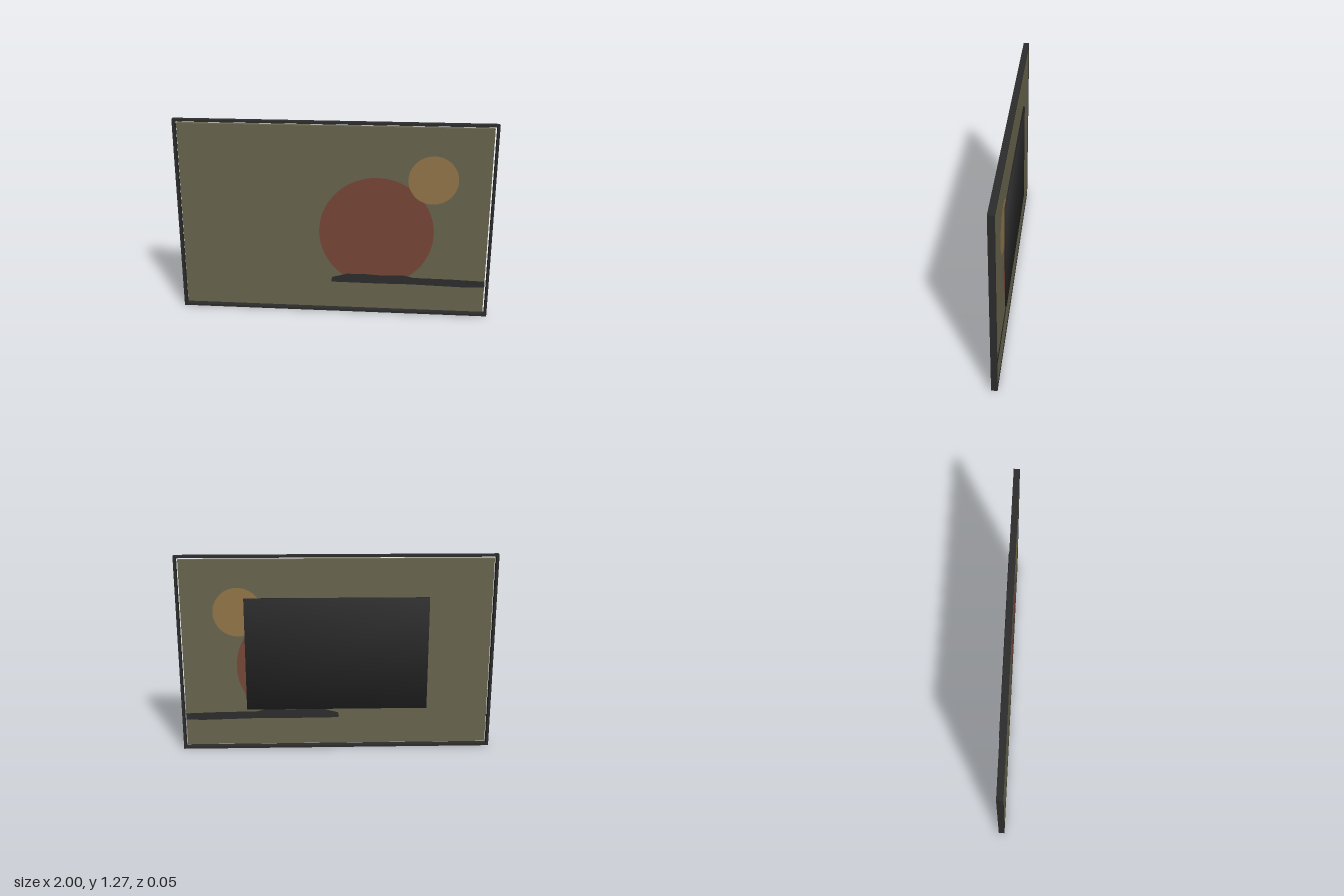
import * as THREE from 'three';

const H = 1.27, FRONT = 0.0235, BACK = -0.0145, BAR = 0.015;
const CANVAS = { x0: -0.973, x1: 0.973, y0: 0.032, y1: 1.245, front: 0.022, back: -0.013 };

function material(name, color, side = THREE.FrontSide) {
  const m = new THREE.MeshStandardMaterial({ color, side });
  m.name = name;
  return m;
}

function box(name, mat, x0, x1, y0, y1, z0, z1) {
  const mesh = new THREE.Mesh(new THREE.BoxGeometry(x1 - x0, y1 - y0, z1 - z0), mat);
  mesh.position.set((x0 + x1) / 2, (y0 + y1) / 2, (z0 + z1) / 2);
  mesh.name = name;
  return mesh;
}

export function createModel() {
  const model = new THREE.Group();
  model.name = 'framedPicture';

  const black = material('frameBlack', 0x2c2c2c);
  const olive = material('canvasOlive', 0x68654e);
  const red = material('discRed', 0x764737, THREE.DoubleSide);
  const ochre = material('sunOchre', 0x917548, THREE.DoubleSide);
  const charcoal = material('branchCharcoal', 0x2d2d2d, THREE.DoubleSide);

  // Floating frame: four bars with an open gap around the canvas
  const frame = new THREE.Group();
  frame.name = 'frame';
  frame.add(
    box('topBar', black, -1, 1, H - BAR, H, BACK, FRONT),
    box('bottomBar', black, -1, 1, 0, BAR, BACK, FRONT),
    box('rightBar', black, -1, -1 + BAR, BAR, H - BAR, BACK, FRONT),
    box('leftBar', black, 1 - BAR, 1, BAR, H - BAR, BACK, FRONT)
  );
  model.add(frame);

  // Canvas panel
  const c = CANVAS;
  model.add(box('canvas', olive, c.x0, c.x1, c.y0, c.y1, c.back, c.front));

  // Painted shapes, repeated on the front and back of the canvas
  const disc = new THREE.Shape();
  const cx = 0.273, cy = 0.56, r = 0.363;
  const cut = Math.asin((0.262 - cy) / r);
  disc.absarc(cx, cy, r, cut, Math.PI - cut, false);
  disc.closePath();

  const sun = new THREE.Shape();
  sun.absarc(0.62, 0.914, 0.155, 0, Math.PI * 2, false);

  const branch = new THREE.Shape([
    [-0.01, 0.21], [0.3, 0.208], [0.5, 0.21], [0.7, 0.205], [0.87, 0.201], [0.973, 0.206],
    [0.973, 0.247], [0.75, 0.254], [0.52, 0.256], [0.45, 0.272], [0.3, 0.266], [0.2, 0.272],
    [0.09, 0.27], [0.04, 0.256], [-0.005, 0.245], [-0.012, 0.225]
  ].map(([x, y]) => new THREE.Vector2(x, y)));

  const paint = [['redDisc', disc, red], ['ochreSun', sun, ochre], ['branch', branch, charcoal]];
  paint.forEach(([name, shape, mat], i) => {
    const geometry = new THREE.ShapeGeometry(shape, 40);
    const lift = 0.0005 * (i + 1);
    for (const [side, z] of [['Front', c.front + lift], ['Back', c.back - lift]]) {
      const mesh = new THREE.Mesh(geometry, mat);
      // Turn the back copy's normals outward while keeping its outline in place
      if (side === 'Back') {
        mesh.geometry = geometry.clone().scale(-1, 1, 1);
        mesh.geometry.index.array.reverse();
        mesh.rotation.y = Math.PI;
      }
      mesh.position.z = z;
      mesh.name = name + side;
      model.add(mesh);
    }
  });

  // Branch colour wrapping onto the canvas edges
  model.add(
    box('branchEdgeLeft', charcoal, c.x1, c.x1 + 0.001, 0.206, 0.247, c.back, c.front),
    box('branchEdgeRight', charcoal, c.x0 - 0.001, c.x0, 0.206, 0.247, c.back, c.front)
  );

  // Rear housing with softly blended corner normals
  const housing = box('rearHousing', black, -0.58, 0.58, 0.272, 1.003, -0.0235, c.back);
  const p = housing.geometry.attributes.position, n = housing.geometry.attributes.normal;
  for (let i = 0; i < p.count; i++) {
    const v = new THREE.Vector3(Math.sign(p.getX(i)), Math.sign(p.getY(i)), Math.sign(p.getZ(i))).normalize();
    n.setXYZ(i, v.x, v.y, v.z);
  }
  model.add(housing);

  return model;
}
